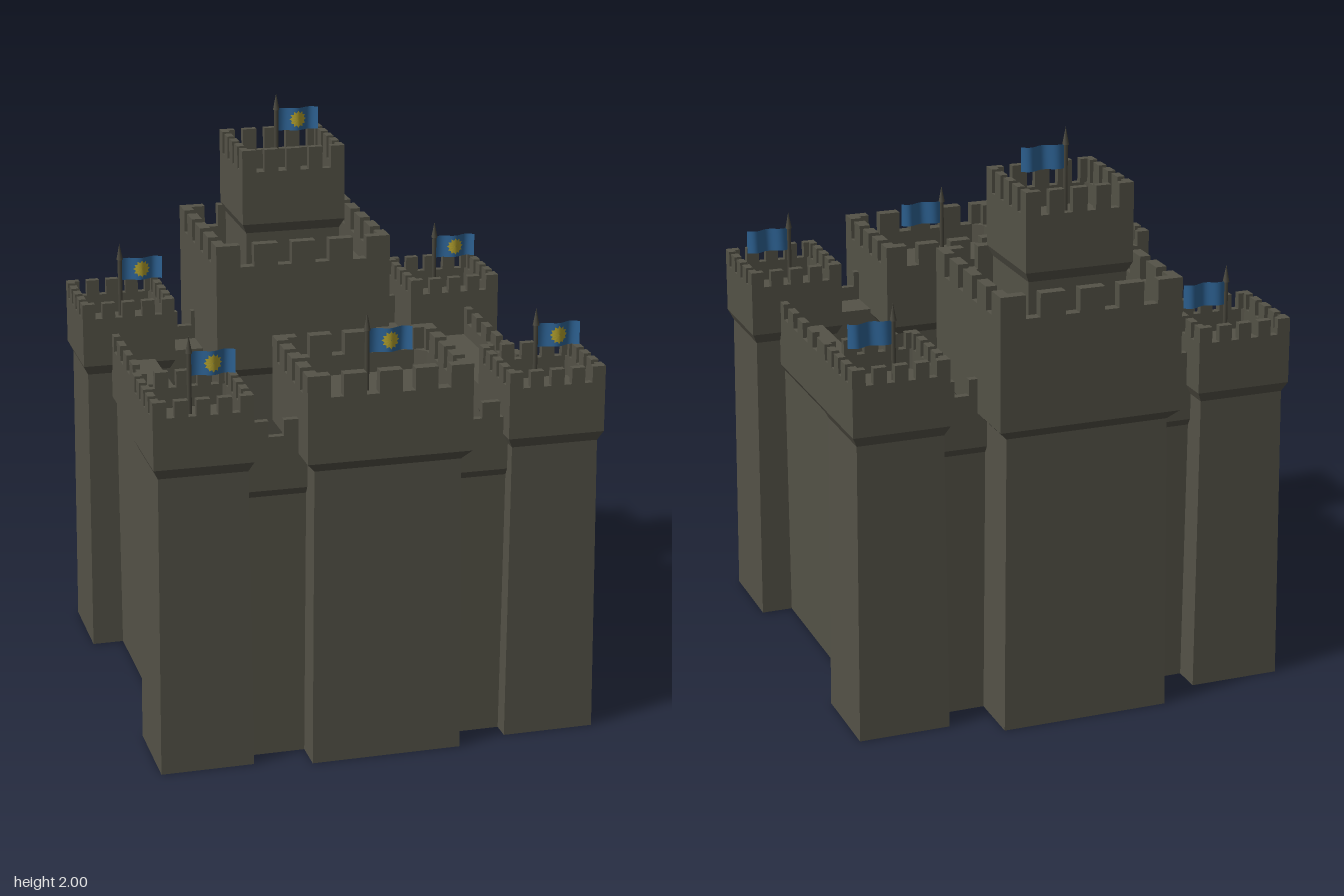
import * as THREE from 'three';

const mat = (name, color) => {
  const m = new THREE.MeshStandardMaterial({ color });
  m.name = name;
  return m;
};

export function createModel() {
  const root = new THREE.Group();
  root.name = 'castle';
  const stone = mat('stone', 0x545247);
  const poleMat = mat('pole', 0x47453b);
  const blue = mat('flagBlue', 0x2f6699);
  const yellow = mat('emblemYellow', 0xb5a32e);
  blue.side = yellow.side = THREE.DoubleSide;

  const add = (parent, name, geo, material, x = 0, y = 0, z = 0) => {
    const m = new THREE.Mesh(geo, material);
    m.name = name;
    m.position.set(x, y, z);
    parent.add(m);
    return m;
  };

  // Box whose bottom and top have different half sizes
  function frustum(bx, bz, tx, tz, y0, y1) {
    const g = new THREE.BoxGeometry(2, y1 - y0, 2);
    const p = g.attributes.position;
    for (let i = 0; i < p.count; i++) {
      const top = p.getY(i) > 0;
      p.setX(i, p.getX(i) * (top ? tx : bx));
      p.setZ(i, p.getZ(i) * (top ? tz : bz));
    }
    g.translate(0, (y0 + y1) / 2, 0);
    g.computeVertexNormals();
    return g;
  }

  // Rectangular parapet with a chamfered inner opening
  function ring(hx, hz, t, chamfer, y0, y1) {
    const s = new THREE.Shape();
    s.moveTo(-hx, -hz).lineTo(hx, -hz).lineTo(hx, hz).lineTo(-hx, hz).closePath();
    const a = hx - t, b = hz - t, c = chamfer;
    s.holes.push(new THREE.Path([
      [a - c, -b], [-a + c, -b], [-a, -b + c], [-a, b - c],
      [-a + c, b], [a - c, b], [a, b - c], [a, -b + c],
    ].map(([x, y]) => new THREE.Vector2(x, y))));
    const g = new THREE.ExtrudeGeometry(s, { depth: y1 - y0, bevelEnabled: false });
    return g.rotateX(-Math.PI / 2).translate(0, y0, 0);
  }

  // Tapered shaft, flared collar, crown, parapet and merlons
  function tower(o) {
    const g = new THREE.Group();
    g.name = o.name;
    g.position.set(o.x, 0, o.z);
    root.add(g);
    const { hx, hz, inset, t, low, high } = o;
    const floor = low - 0.07;
    const bx = hx - inset, bz = hz - inset;
    const taper = o.taper ?? 0.009;
    add(g, 'shaft', frustum(bx + taper, bz + taper, bx, bz, o.base, o.flare), stone);
    add(g, 'collar', frustum(bx, bz, hx, hz, o.flare, o.flare + 0.035), stone);
    add(g, 'crown', frustum(hx, hz, hx, hz, o.flare + 0.035, floor), stone);
    add(g, 'parapet', ring(hx, hz, t, o.chamfer, floor, low), stone);
    const n = 5, h = high - low;
    const gapRatio = 0.58;
    const mx = 2 * hx / (n + (n - 1) * gapRatio), mz = 2 * hz / (n + (n - 1) * gapRatio);
    for (const s of [-1, 1]) {
      for (let i = 0; i < n; i++) {
        const ux = -hx + mx / 2 + i * mx * (1 + gapRatio);
        add(g, 'merlon', new THREE.BoxGeometry(mx, h, t), stone, ux, low + h / 2, s * (hz - t / 2));
        const corner = i === 0 ? 1 : i === n - 1 ? -1 : 0;
        const len = corner ? mz - t : mz;
        const uz = -hz + mz / 2 + i * mz * (1 + gapRatio) + corner * t / 2;
        add(g, 'merlon', new THREE.BoxGeometry(t, h, len), stone, s * (hx - t / 2), low + h / 2, uz);
      }
    }
    flag(o.pole[0], o.pole[1], floor, o.tip);
  }

  // Pole with pointed tip and a waving banner
  const wave = (x) => -0.012 * Math.sin(x / 0.15 * Math.PI * 3) * (0.5 + x * 3);
  function bend(geo, offset) {
    const p = geo.attributes.position;
    for (let i = 0; i < p.count; i++) p.setZ(i, wave(p.getX(i)) + offset);
    geo.computeVertexNormals();
    return geo;
  }
  function flag(x, z, floor, tip) {
    const g = new THREE.Group();
    g.name = 'flag';
    g.position.set(x, 0, z);
    root.add(g);
    const top = tip - 0.06;
    add(g, 'pole', new THREE.CylinderGeometry(0.008, 0.008, top - floor, 8), poleMat, 0, (top + floor) / 2);
    add(g, 'poleTip', new THREE.ConeGeometry(0.012, 0.06, 8), poleMat, 0, tip - 0.03);
    const cloth = new THREE.PlaneGeometry(0.15, 0.082, 20, 1).translate(0.08, 0, 0);
    add(g, 'banner', bend(cloth, 0), blue, 0, tip - 0.098);
    // Sunburst: fan of rings so that it follows the wave
    const sun = new THREE.RingGeometry(0.001, 0.03, 24, 4);
    const p = sun.attributes.position;
    for (let i = 0; i < p.count; i++) {
      const k = i % 25 % 2 ? 0.78 : 1.05;
      p.setXY(i, p.getX(i) * k + 0.08, p.getY(i) * k);
    }
    add(g, 'sunEmblem', bend(sun, 0.003), yellow, 0, tip - 0.098);
  }

  // Corner towers
  const corners = [[-0.595, 0.595, -0.605, 0.595], [0.607, 0.595, 0.585, 0.59],
    [-0.612, -0.542, -0.605, -0.565], [0.607, -0.542, 0.585, -0.565]];
  for (const [x, z, px, pz] of corners) {
    tower({ name: 'cornerTower', x, z, hx: 0.167, hz: 0.166, inset: 0.017, t: 0.026, chamfer: 0.008,
      base: 0, flare: 1.045, low: 1.255, high: 1.31, pole: [px, pz], tip: 1.475 });
  }
  // Gatehouse, keep and the turret on top of it
  tower({ name: 'gatehouse', x: 0.015, z: 0.585, hx: 0.28, hz: 0.235, inset: 0.03, t: 0.04, chamfer: 0.035,
    base: 0, flare: 1.04, low: 1.3, high: 1.375, pole: [-0.008, 0.61], tip: 1.51 });
  tower({ name: 'keep', x: -0.008, z: -0.518, hx: 0.318, hz: 0.303, inset: 0.033, t: 0.037, chamfer: 0.035,
    base: 0, flare: 1.04, low: 1.455, high: 1.535, pole: [-0.025, -0.54], tip: 2 });
  tower({ name: 'keepTurret', x: -0.008, z: -0.532, hx: 0.188, hz: 0.178, inset: 0.016, t: 0.026, chamfer: 0.01,
    base: 1.36, flare: 1.535, low: 1.76, high: 1.84, taper: 0, pole: [-0.025, -0.54], tip: 2 });

  // Curtain wall: section extruded along its length, outer side facing local +x
  const section = new THREE.Shape([[-0.155, 0], [-0.015, 0], [-0.015, 0.93], [0, 0.955],
    [0, 1.14], [-0.025, 1.14], [-0.025, 1.09], [-0.155, 1.09]].map(([x, y]) => new THREE.Vector2(x, y)));
  function wall(name, x, z, length, turn) {
    const g = new THREE.Group();
    g.name = name;
    g.position.set(x, 0, z);
    g.rotation.y = turn;
    root.add(g);
    const geo = new THREE.ExtrudeGeometry(section, { depth: length, bevelEnabled: false });
    add(g, 'wallBody', geo.translate(0, 0, -length / 2), stone);
    const n = Math.round(length / 0.113);
    for (let i = 0; i < n; i++) {
      const mz = (i - (n - 1) / 2) * 0.113;
      add(g, 'merlon', new THREE.BoxGeometry(0.025, 0.055, 0.062), stone, -0.0125, 1.1675, mz);
    }
  }
  wall('leftWall', 0.67, 0.025, 0.89, 0);
  wall('rightWall', -0.675, 0.025, 0.89, Math.PI);
  for (const s of [-1, 1]) {
    wall('frontWall', s * 0.34, 0.7, 0.28, -Math.PI / 2);
    wall('backWall', s * 0.365, -0.61, 0.23, Math.PI / 2);
  }
  // The keep's own pole is covered by the turret's
  root.remove(root.children.filter((c) => c.name === 'flag')[5]);
  return root;
}
